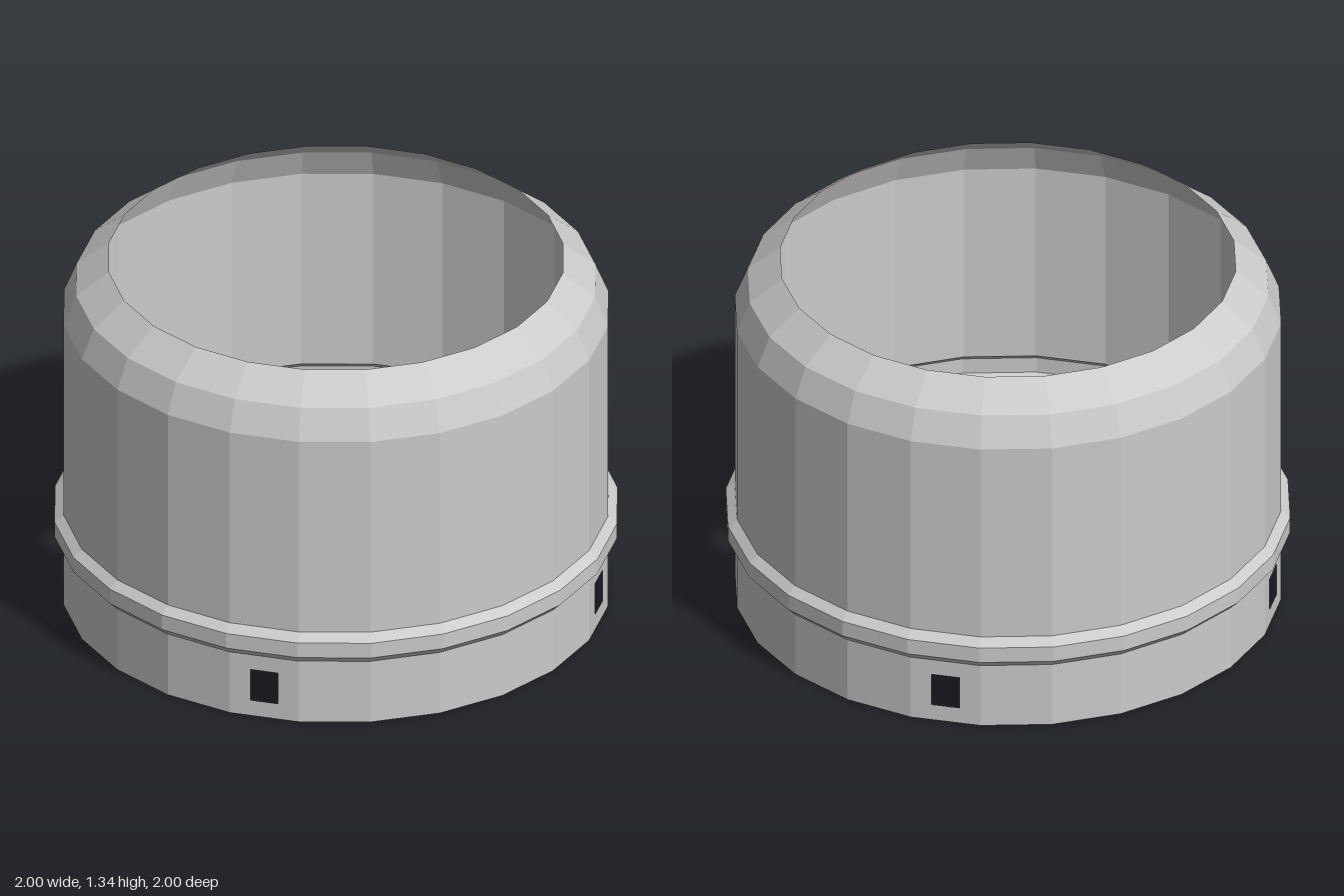
import * as THREE from 'three';

const SIDES = 24;
const STEP = (Math.PI * 2) / SIDES;
const PHASE = THREE.MathUtils.degToRad(2.2);
const R = 0.968;        // wall radius at the corners
const BAND_TOP = 0.246; // where the lower band meets the bead

export function createModel() {
  const group = new THREE.Group();
  const material = new THREE.MeshStandardMaterial({
    color: 0xcccccc, flatShading: true, side: THREE.DoubleSide,
  });

  // Thin faceted shell turned from a profile of [radius, height] points
  const addShell = (name, profile) => {
    const points = profile.map(([r, y]) => new THREE.Vector2(r, y));
    const mesh = new THREE.Mesh(new THREE.LatheGeometry(points, SIDES, PHASE), material);
    mesh.name = name;
    group.add(mesh);
  };
  addShell('bead', [[R, BAND_TOP], [1, 0.278], [1, 0.337], [R, 0.364]]);
  addShell('wall', [[R, 0.364], [R, 1.134]]);
  addShell('shoulder', [[R, 1.134], [0.922, 1.246], [0.807, 1.337]]);

  // Lower band: one flat panel per side, every sixth with a window
  const half = R * Math.sin(STEP / 2);
  const rect = (Type, w, y0, y1) => new Type([
    new THREE.Vector2(-w, y0), new THREE.Vector2(w, y0),
    new THREE.Vector2(w, y1), new THREE.Vector2(-w, y1),
  ]);
  const plain = rect(THREE.Shape, half, 0, BAND_TOP);
  const windowed = rect(THREE.Shape, half, 0, BAND_TOP);
  windowed.holes.push(rect(THREE.Path, 0.051, 0.062, 0.186));
  const plainPanel = new THREE.ShapeGeometry(plain);
  const windowPanel = new THREE.ShapeGeometry(windowed);

  const band = new THREE.Group();
  band.name = 'lowerBand';
  for (let i = 0; i < SIDES; i++) {
    const hasWindow = i % 6 === 3;
    const panel = new THREE.Mesh(hasWindow ? windowPanel : plainPanel, material);
    const angle = PHASE + (i + 0.5) * STEP;
    const apothem = R * Math.cos(STEP / 2);
    panel.position.set(apothem * Math.sin(angle), 0, apothem * Math.cos(angle));
    panel.rotation.y = angle;
    panel.name = hasWindow ? 'windowPanel' : 'bandPanel';
    band.add(panel);
  }
  group.add(band);
  return group;
}
